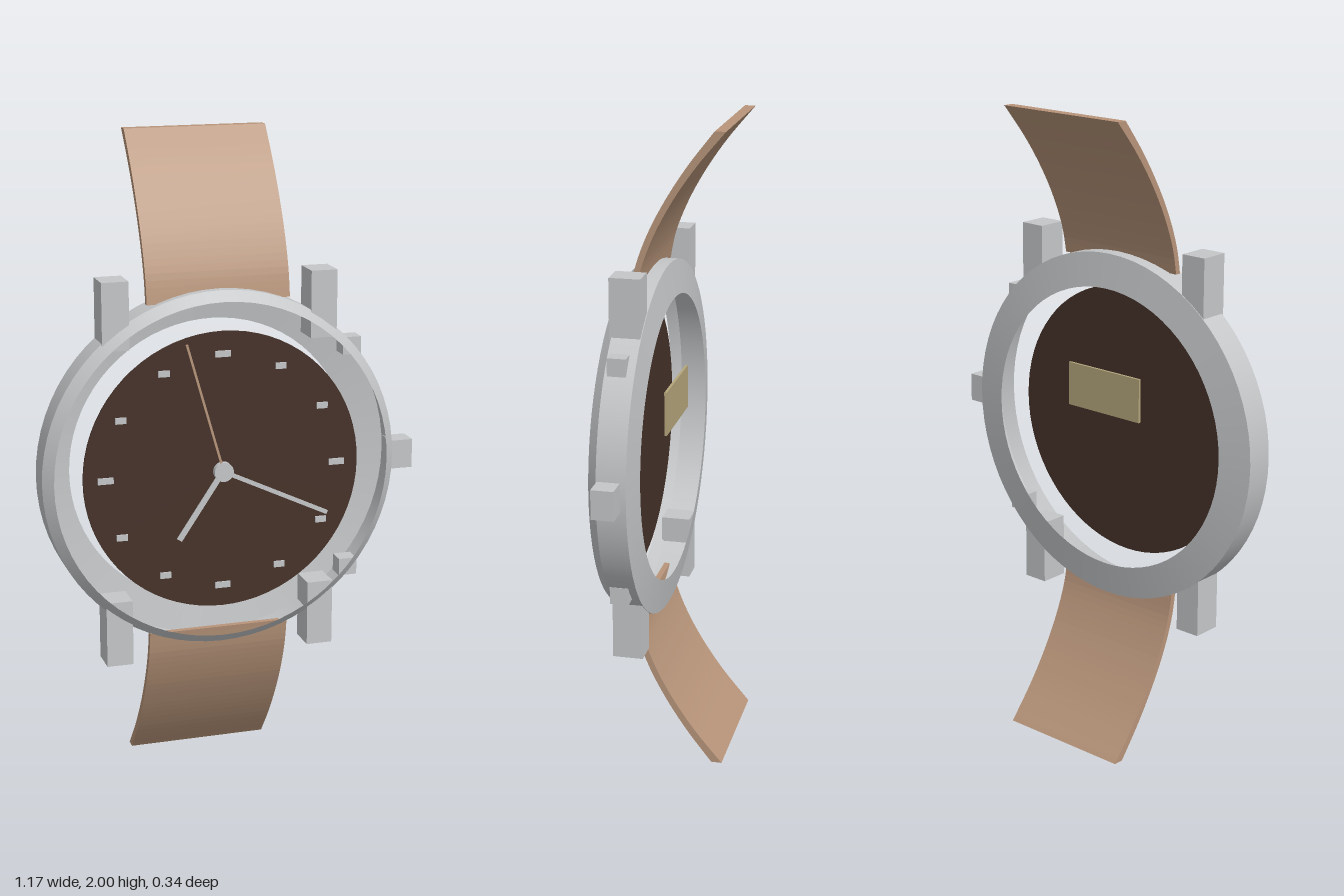
import * as THREE from 'three';

const CX = -0.032, CY = 1; // centre of the watch case

export function createModel() {
  const model = new THREE.Group();
  const mat = (name, color, side = THREE.FrontSide) => {
    const m = new THREE.MeshStandardMaterial({ color, side });
    m.name = name;
    return m;
  };
  const silver = mat('silver', 0xc4c6c8, THREE.DoubleSide);
  const leather = mat('tan leather', 0xb8957a);
  const brown = mat('dark brown', 0x453229);
  const brass = mat('pale brass', 0xb5a67c);

  const add = (name, geometry, material, x = 0, y = 0, z = 0) => {
    const mesh = new THREE.Mesh(geometry, material);
    mesh.name = name;
    mesh.position.set(x, y, z);
    model.add(mesh);
    return mesh;
  };
  // Box given by its limits on each axis
  const box = (name, material, [x0, x1], [y0, y1], [z0, z1]) =>
    add(name, new THREE.BoxGeometry(x1 - x0, y1 - y0, z1 - z0), material,
      (x0 + x1) / 2, (y0 + y1) / 2, (z0 + z1) / 2);

  // Case: thin open shell, one band per profile segment to keep creases sharp
  const profile = [[0.447, 0.03], [0.552, 0.046], [0.552, 0.135], [0.522, 0.165]];
  for (let i = 0; i < profile.length - 1; i++) {
    const band = new THREE.LatheGeometry(
      [profile[i], profile[i + 1]].map(([r, z]) => new THREE.Vector2(r, z)), 72);
    band.rotateX(Math.PI / 2);
    add(['caseBack', 'caseSide', 'bezel'][i], band, silver, CX, CY, 0);
  }

  // Lugs and pushers, mirrored above and below the centre
  for (const s of [1, -1]) {
    const span = (a, b) => [CY + s * a, CY + s * b].sort((p, q) => p - q);
    for (const x of [[-0.397, -0.315], [0.246, 0.328]])
      box('lug', silver, x, span(0.39, 0.595), [0.048, 0.141]);
    box('pusher', silver, [0.355, 0.413], span(0.328, 0.382), [0.07, 0.126]);
  }
  box('crown', silver, [0.515, 0.587], [0.955, 1.045], [0.064, 0.132]);

  // Curved straps: side profile extruded across the width
  const outer = [[0.113, 0.515], [0.096, 0.6], [0.058, 0.7], [0.005, 0.8], [-0.06, 0.9], [-0.137, 1]];
  const inner = [[-0.17, 1], [-0.087, 0.9], [-0.018, 0.8], [0.037, 0.7], [0.077, 0.6], [0.095, 0.515]];
  for (const s of [1, -1]) {
    const smooth = pts => new THREE.SplineCurve(
      pts.map(([z, y]) => new THREE.Vector2(z, CY + s * y))).getPoints(24);
    const strap = new THREE.ExtrudeGeometry(new THREE.Shape([...smooth(outer), ...smooth(inner)]),
      { depth: 0.442, bevelEnabled: false });
    strap.rotateY(-Math.PI / 2);
    add(s > 0 ? 'upperStrap' : 'lowerStrap', strap, leather, 0.188, 0, 0);
  }

  // Dial
  const disc = (r, depth) => new THREE.CylinderGeometry(r, r, depth, 72).rotateX(Math.PI / 2);
  add('dial', disc(0.431, 0.006), brown, CX, CY, 0.143);

  // Hour markers, all upright
  for (let i = 0; i < 12; i++) {
    const a = i * Math.PI / 6;
    const w = i % 3 === 0 ? 0.048 : 0.034;
    add('hourMarker', new THREE.BoxGeometry(w, 0.019, 0.006), silver,
      CX + 0.363 * Math.sin(a), CY + 0.363 * Math.cos(a), 0.149);
  }

  // Hands pointing from the centre to a tip
  const hand = (name, dx, dy, width, z, material) => {
    const length = Math.hypot(dx, dy);
    add(name, new THREE.BoxGeometry(width, length, 0.004), material, CX + dx / 2, CY + dy / 2, z)
      .rotation.z = Math.atan2(-dx, dy);
  };
  hand('hourHand', -0.138, -0.206, 0.018, 0.151, silver);
  hand('minuteHand', 0.333, -0.159, 0.013, 0.155, silver);
  hand('secondHand', -0.114, 0.4, 0.007, 0.159, leather);
  add('handHub', disc(0.03, 0.018), silver, CX, CY, 0.155);

  // Plate on the back
  box('backPlate', brass, [CX - 0.143, CX + 0.143], [1.052, 1.19], [0.022, 0.03]);

  return model;
}
